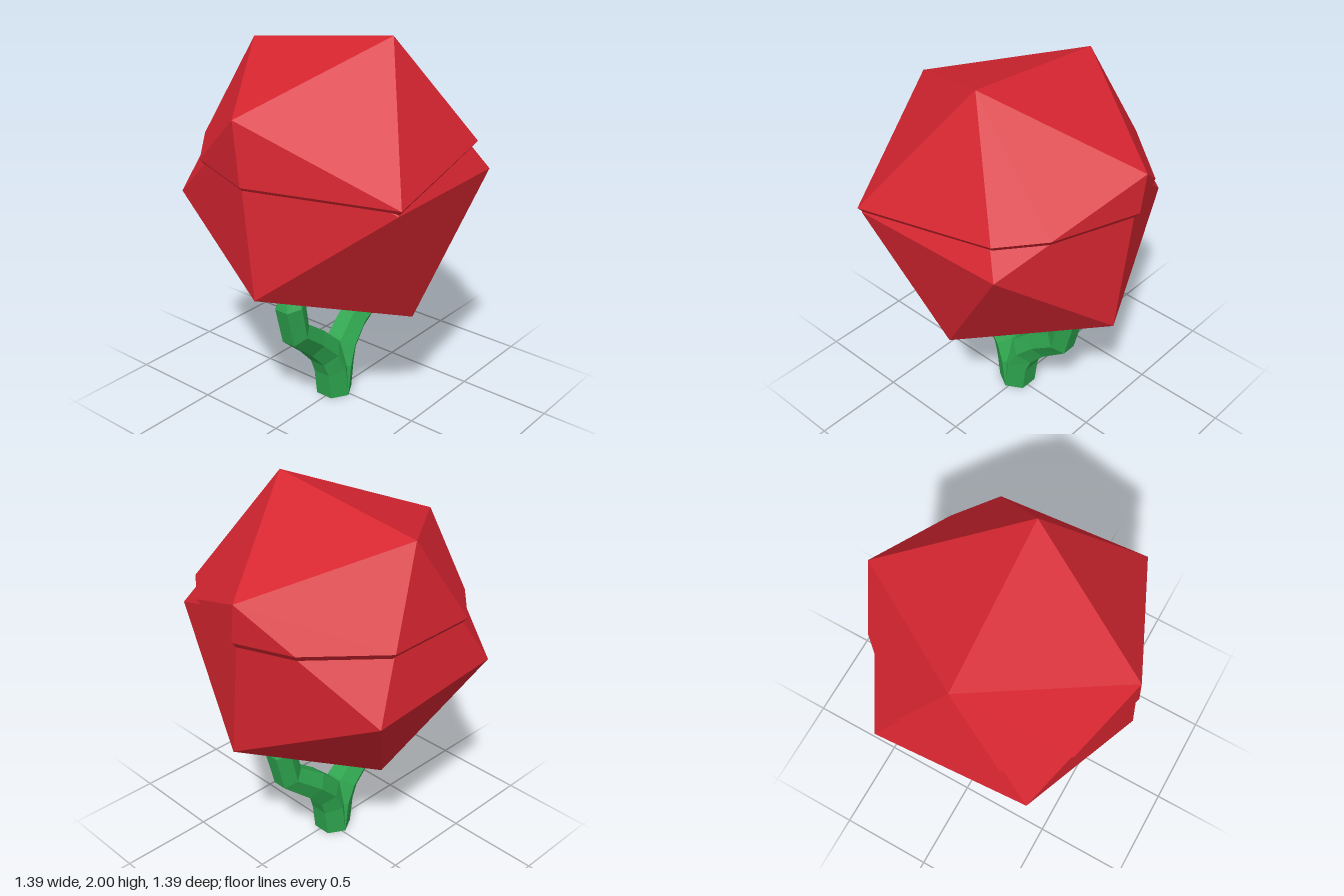
import * as THREE from 'three';
import { ConvexGeometry } from 'three/addons/geometries/ConvexGeometry.js';

const V = (x, y, z) => new THREE.Vector3(x, y, z);

// Geometry from convex polygons given as lists of points, split into triangles
function polygons(faces) {
  const pos = [];
  for (const f of faces)
    for (let i = 1; i < f.length - 1; i++)
      for (const p of [f[0], f[i], f[i + 1]]) pos.push(p.x, p.y, p.z);
  const g = new THREE.BufferGeometry();
  g.setAttribute('position', new THREE.Float32BufferAttribute(pos, 3));
  g.computeVertexNormals();
  return g;
}

// Turns a polygon so that it faces away from a centre
function outward(face, centre) {
  const n = face[1].clone().sub(face[0]).cross(face[2].clone().sub(face[0]));
  return n.dot(face[0].clone().sub(centre)) < 0 ? face.slice().reverse() : face;
}

// Six-sided tube along a path of [x, y, z, radius] in an upright plane
function hexStem(path) {
  const rings = path.map(([x, y, z, r], i) => {
    const a = path[Math.max(i - 1, 0)], b = path[Math.min(i + 1, path.length - 1)];
    const t = i === 0 ? V(0, 1, 0) : V(b[0] - a[0], b[1] - a[1], 0).normalize();
    return Array.from({ length: 6 }, (_, k) => {
      const s = r * Math.sin(k * Math.PI / 3), c = r * Math.cos(k * Math.PI / 3);
      return V(x + t.y * s, y - t.x * s, z + c);
    });
  });
  const faces = [rings[0].slice().reverse(), rings[rings.length - 1]];
  for (let i = 0; i < rings.length - 1; i++)
    for (let k = 0; k < 6; k++) {
      const m = (k + 1) % 6;
      faces.push([rings[i][k], rings[i][m], rings[i + 1][m], rings[i + 1][k]]);
    }
  return polygons(faces);
}

export function createModel() {
  const red = new THREE.MeshStandardMaterial({ color: 0xd62530, flatShading: true });
  red.name = 'berry red';
  const green = new THREE.MeshStandardMaterial({ color: 0x2ea64f, flatShading: true });
  green.name = 'stem green';

  const model = new THREE.Group();
  model.name = 'twinStemBerry';
  const add = (name, geometry, material) => {
    const mesh = new THREE.Mesh(geometry, material);
    mesh.name = name;
    model.add(mesh);
  };

  // Tilted icosahedron: six corners, the others lie opposite
  const centre = V(-0.01, 1.255, -0.015);
  const A = V(0.03, 2, 0.31), B = V(-0.69, 1.70, -0.04), C = V(0.69, 1.655, -0.10);
  const D = V(-0.01, 1.88, -0.54), F = V(-0.40, 1.36, 0.69), G = V(0.445, 1.342, 0.642);
  const opposite = p => centre.clone().multiplyScalar(2).sub(p);

  // Lower body: the whole icosahedron, slightly smaller and lower
  const lowCentre = V(-0.017, 1.227, -0.013);
  const low = [A, B, C, D, F, G].flatMap(p => [p, opposite(p)])
    .map(p => p.clone().sub(centre).multiplyScalar(0.97).add(lowCentre));
  add('lowerBody', new ConvexGeometry(low), red);

  // Upper cap: the larger icosahedron cut off around the middle
  const cut = (p, q, y) => p.clone().lerp(q, (p.y - y) / (p.y - q.y));
  const ag = cut(A, G, 1.46), cg = cut(C, G, 1.457);
  const cb = cut(C, opposite(B), 1.452), cf = cut(C, opposite(F), 1.445);
  const df = cut(D, opposite(F), 1.44), dg = cut(D, opposite(G), 1.42);
  const bg = cut(B, opposite(G), 1.40), bc = cut(B, opposite(C), 1.39);
  const cap = [
    [A, D, B], [A, B, F], [A, F, ag], [A, ag, cg, C], [A, C, D], [C, cg, cb], [C, cb, cf],
    [C, cf, df, D], [D, df, dg], [D, dg, bg, B], [B, bg, bc], [B, bc, F],
  ];
  add('upperCap', polygons(cap.map(f => outward(f, centre))), red);

  // Rim: slopes in and down from the cap's edge to the lower body
  const rim = [F, ag, cg, cb, cf, df, dg, bg, bc];
  const inner = rim.map(p => V(p.x * 0.94, p.y - 0.05, p.z * 0.94));
  const strip = rim.map((p, i) => {
    const j = (i + 1) % rim.length;
    return outward([p, rim[j], inner[j], inner[i]], V(0, 1.9, 0));
  });
  add('capRim', polygons(strip), red);

  // Two bent stems that share a foot
  for (const [name, side] of [['leftStem', 1], ['rightStem', -1]]) {
    const path = [
      [0, 0, -0.01, 0.1], [0.022, 0.17, -0.01, 0.1], [0.07, 0.27, -0.015, 0.092],
      [0.17, 0.37, -0.02, 0.085], [0.318, 0.485, 0, 0.078],
      [0.36, 0.67, 0.003, 0.08], [0.367, 0.71, 0.003, 0.055],
    ].map(([x, y, z, r]) => [-0.015 + side * x, y, z, r]);
    add(name, hexStem(path), green);
  }
  return model;
}
